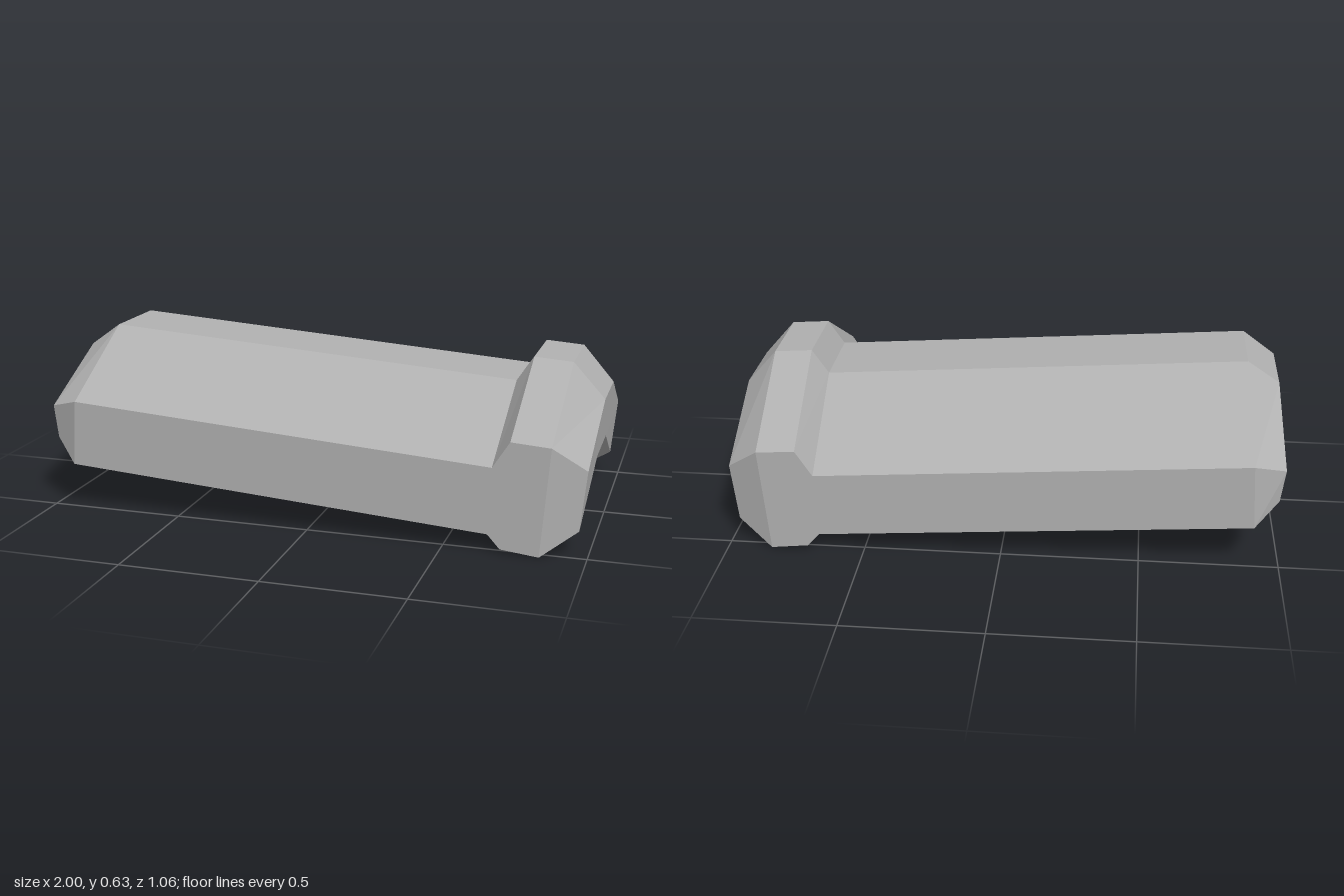
import * as THREE from 'three';

// Stations along the tile:
// [ridge x, y], [upper eave x, y], [lower eave x, y], eave half width, front and back ridge z, inner rise
const stations = [
  [-0.99, 0.55, -1.0, 0.38, -0.985, 0.26, 0.48, 0.16, -0.11, 0.175],
  [-0.87, 0.635, -0.885, 0.415, -0.9, 0.175, 0.53, 0.17, -0.12, 0.22],
  [0.685, 0.525, 0.67, 0.305, 0.66, 0.065, 0.53, 0.17, -0.12, 0.22],
  [0.745, 0.615, 0.73, 0.4, 0.705, 0.015, 0.53, 0.17, -0.12, 0.22],
  [0.885, 0.605, 0.87, 0.39, 0.84, 0.0, 0.53, 0.17, -0.12, 0.225],
  [1.0, 0.475, 0.988, 0.305, 0.967, 0.09, 0.48, 0.16, -0.11, 0.175],
];

// Arched cross-section: four outer points, then four inner points
function section([rx, ry, ex, ey, bx, by, w, zf, zb, rise]) {
  const ix = bx + 0.015, iy = by + rise;
  return [
    [ex, ey, w], [rx, ry, zf], [rx, ry, zb], [ex, ey, -w],
    [bx, by, -w], [ix, iy, zb], [ix, iy, zf], [bx, by, w],
  ];
}

function loft(rings) {
  const positions = [];
  const quad = (a, b, c, d) => positions.push(...a, ...b, ...c, ...a, ...c, ...d);
  for (let s = 0; s < rings.length - 1; s++) {
    const p = rings[s], q = rings[s + 1];
    for (let i = 0; i < 8; i++) {
      const j = (i + 1) % 8;
      quad(p[i], q[i], q[j], p[j]);
    }
  }
  // End caps, one quad per arch segment
  const first = rings[0], last = rings[rings.length - 1];
  for (let i = 0; i < 3; i++) {
    quad(first[i], first[i + 1], first[6 - i], first[7 - i]);
    quad(last[7 - i], last[6 - i], last[i + 1], last[i]);
  }
  const geometry = new THREE.BufferGeometry();
  geometry.setAttribute('position', new THREE.Float32BufferAttribute(positions, 3));
  geometry.computeVertexNormals();
  return geometry;
}

export function createModel() {
  const group = new THREE.Group();
  group.name = 'ridgeTile';
  const stone = new THREE.MeshStandardMaterial({ color: 0xb0b0b0 });
  stone.name = 'stone grey';
  stone.flatShading = true;

  // Arched tile with a raised collar at one end and chamfered ends
  const tile = new THREE.Mesh(loft(stations.map(section)), stone);
  tile.name = 'archedTile';
  group.add(tile);
  return group;
}
